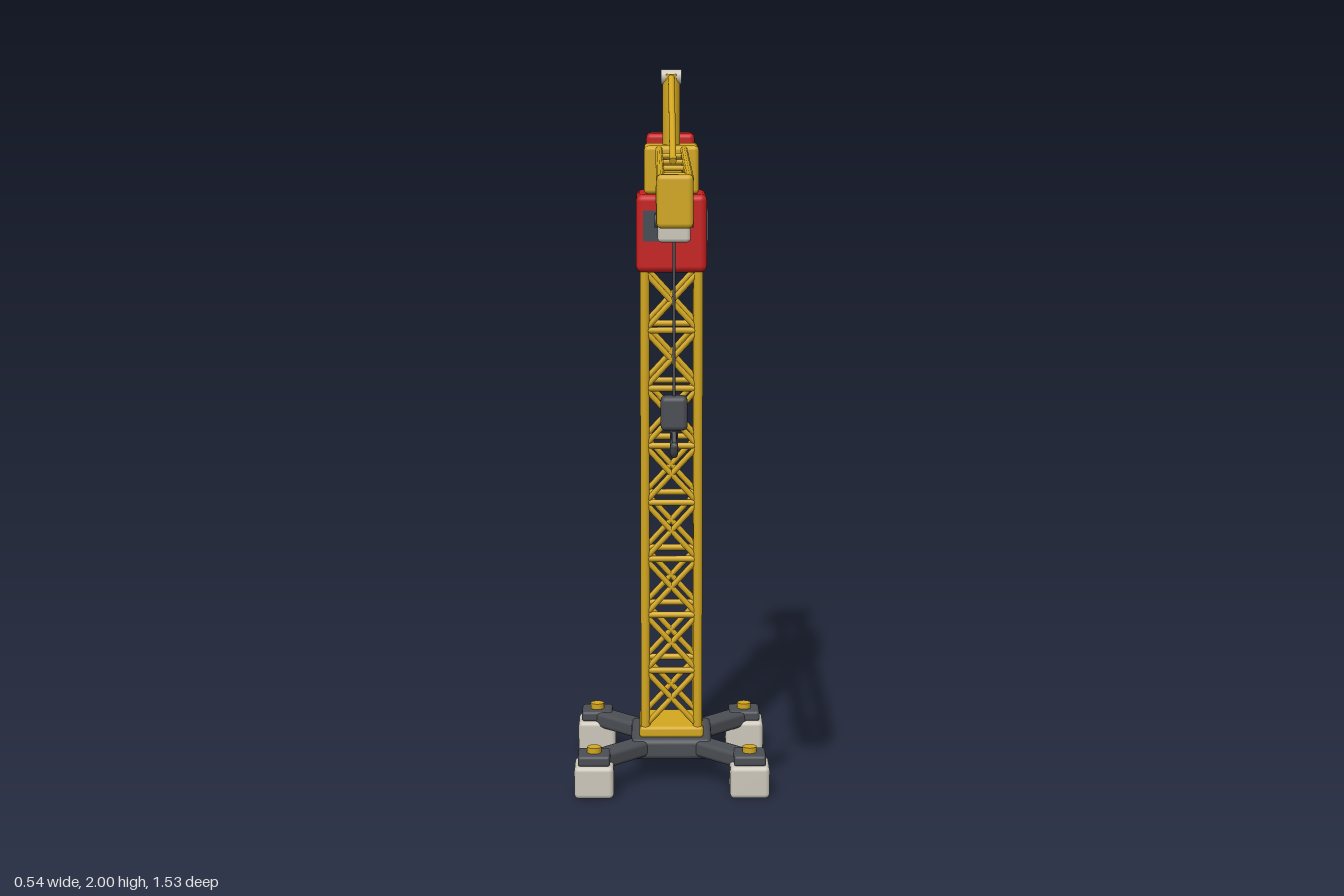
import * as THREE from 'three';
import { RoundedBoxGeometry } from 'three/addons/geometries/RoundedBoxGeometry.js';

const mat = (name, color) => {
  const m = new THREE.MeshStandardMaterial({ color });
  m.name = name;
  return m;
};

export function createModel() {
  const yellow = mat('crane yellow', 0xd4a820);
  const red = mat('cab red', 0xc82020);
  const dark = mat('dark steel', 0x4b4e54);
  const grey = mat('concrete grey', 0xcdc8bc);
  const glass = mat('window glass', 0x454c54);

  const model = new THREE.Group();
  model.name = 'towerCrane';
  const group = (name) => {
    const g = new THREE.Group();
    g.name = name;
    model.add(g);
    return g;
  };
  const V = (x, y, z) => new THREE.Vector3(x, y, z);
  const add = (parent, name, geo, material, x = 0, y = 0, z = 0) => {
    const m = new THREE.Mesh(geo, material);
    m.name = name;
    m.position.set(x, y, z);
    parent.add(m);
    return m;
  };
  const block = (parent, name, material, size, pos, r = 0.012) =>
    add(parent, name, new RoundedBoxGeometry(...size, 2, r), material, ...pos);
  // Round bar between two points
  const bar = (parent, name, a, b, r, material = yellow) => {
    const d = b.clone().sub(a);
    const m = add(parent, name, new THREE.CylinderGeometry(r, r, d.length(), 10), material);
    m.position.copy(a).add(b).multiplyScalar(0.5);
    m.quaternion.setFromUnitVectors(V(0, 1, 0), d.normalize());
    return m;
  };

  const Z = -0.348; // tower axis

  // Base with four outrigger feet
  const base = group('base');
  block(base, 'basePlate', dark, [0.23, 0.06, 0.23], [0, 0.094, Z], 0.015);
  for (const sx of [-1, 1]) for (const sz of [-1, 1]) {
    const x = sx * 0.217, z = Z + sz * 0.217;
    const arm = block(base, 'outriggerArm', dark, [0.065, 0.045, 0.25], [sx * 0.135, 0.096, Z + sz * 0.135]);
    arm.rotation.y = Math.atan2(sx, sz);
    block(base, 'footBlock', grey, [0.11, 0.092, 0.11], [x, 0.046, z], 0.013);
    block(base, 'footPlate', dark, [0.09, 0.03, 0.09], [x, 0.106, z], 0.008);
    add(base, 'footBolt', new THREE.CylinderGeometry(0.02, 0.02, 0.02, 12), yellow, x, 0.127, z);
  }

  // Lattice tower
  const tower = group('tower');
  const y0 = 0.155, bays = 8, step = 0.162, h = 0.074;
  block(tower, 'towerFoot', yellow, [0.182, 0.034, 0.182], [0, 0.138, Z], 0.01);
  for (const sx of [-1, 1]) for (const sz of [-1, 1])
    bar(tower, 'towerLeg', V(sx * h, 0.14, Z + sz * h), V(sx * h, 1.47, Z + sz * h), 0.0135);
  for (let side = 0; side < 4; side++) {
    const face = new THREE.Group();
    face.name = 'towerFace';
    face.position.z = Z;
    face.rotation.y = side * Math.PI / 2;
    tower.add(face);
    for (let i = 0; i < bays; i++) {
      const a = y0 + i * step, b = a + step;
      if (i) bar(face, 'towerRung', V(-h, a, h), V(h, a, h), 0.009);
      bar(face, 'towerBrace', V(-h, a, h), V(h, b, h), 0.008);
      bar(face, 'towerBrace', V(h, a, h), V(-h, b, h), 0.008);
    }
  }

  // Cab with front and left windows
  const cab = group('cab');
  block(cab, 'cabBody', red, [0.195, 0.215, 0.195], [0, 1.558, Z], 0.018);
  add(cab, 'frontWindow', new THREE.BoxGeometry(0.128, 0.085, 0.006), glass, -0.014, 1.58, Z + 0.098);
  for (const z of [-0.292, -0.375])
    add(cab, 'sideWindow', new THREE.BoxGeometry(0.006, 0.085, 0.06), glass, 0.098, 1.58, z);

  // Slewing block, mast and tie rods
  const head = group('head');
  block(head, 'slewBlock', yellow, [0.15, 0.132, 0.148], [0, 1.73, Z]);
  add(head, 'mast', new THREE.CylinderGeometry(0.024, 0.024, 0.2, 12), yellow, 0, 1.888, Z);
  const pin = add(head, 'mastPin', new THREE.CylinderGeometry(0.02, 0.02, 0.056, 12), grey, 0, 1.98, Z);
  pin.rotation.z = Math.PI / 2;
  bar(head, 'frontTie', V(0, 1.985, Z), V(0, 1.788, 0.2), 0.009);
  bar(head, 'rearTie', V(0, 1.985, Z), V(0, 1.765, -0.69), 0.009);

  // Lattice beam: four chords, zigzag sides and cross bars
  const beam = (name, zA, zB, yTop, n) => {
    const g = group(name);
    const yLow = 1.682, w = 0.034;
    const node = (i, x) => V(x, i % 2 ? yTop : yLow, zA + (zB - zA) * i / n);
    for (const x of [-w, w]) {
      for (const y of [yLow, yTop]) bar(g, name + 'Chord', V(x, y, zA), V(x, y, zB), 0.0105);
      for (let i = 0; i < n; i++) bar(g, name + 'Diagonal', node(i, x), node(i + 1, x), 0.007);
    }
    for (let i = 1; i < n; i++) bar(g, name + 'CrossBar', node(i, -w), node(i, w), 0.007);
    return g;
  };
  const jib = beam('jib', 0.735, -0.28, 1.784, 9);
  block(jib, 'jibEnd', yellow, [0.086, 0.126, 0.034], [0, 1.733, 0.748]);
  const counterJib = beam('counterJib', -0.415, -0.7, 1.757, 4);
  block(counterJib, 'counterweight', red, [0.14, 0.185, 0.077], [0, 1.713, -0.7265], 0.014);

  // Trolley, cable and hook
  const trolley = group('trolley');
  const tz = 0.512;
  block(trolley, 'trolleyBody', grey, [0.08, 0.045, 0.072], [0, 1.638, tz], 0.01);
  for (const x of [-0.038, 0.038]) for (const dz of [-0.019, 0.019])
    bar(trolley, 'trolleyWheel', V(x - 0.009, 1.667, tz + dz), V(x + 0.009, 1.667, tz + dz), 0.016, dark);
  bar(trolley, 'cable', V(0, 1.63, tz), V(0, 1.22, tz), 0.0035, dark);
  block(trolley, 'hookBlock', dark, [0.066, 0.085, 0.046], [0, 1.193, tz]);
  const path = [[1.16, 0.512], [1.143, 0.503], [1.12, 0.481], [1.1, 0.488], [1.09, 0.512], [1.098, 0.537], [1.115, 0.545]];
  const curve = new THREE.CatmullRomCurve3(path.map(([y, z]) => V(0, y, z)));
  add(trolley, 'hook', new THREE.TubeGeometry(curve, 24, 0.01, 8), dark);
  add(trolley, 'hookTip', new THREE.SphereGeometry(0.01, 8, 6), dark, 0, 1.115, 0.545);
  bar(trolley, 'hookLatch', V(0, 1.146, 0.508), V(0, 1.115, 0.542), 0.006, dark);

  return model;
}
